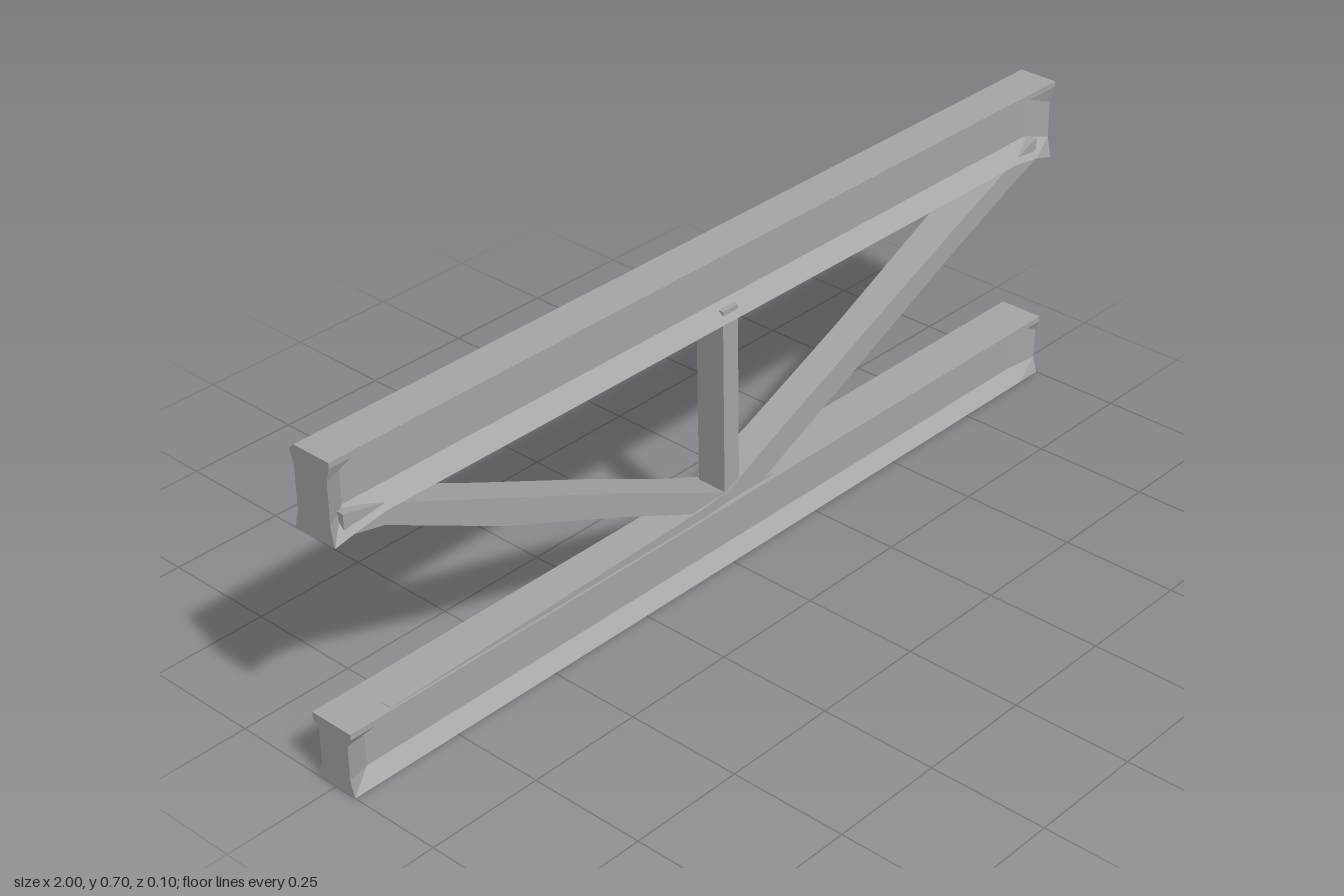
import * as THREE from 'three';

const steel = new THREE.MeshStandardMaterial({ color: 0xa6a6a6 });
steel.name = 'grey steel';
steel.flatShading = true;

// Skin a list of rings (clockwise seen from the last ring's end) and close both ends
function loft(name, rings) {
  const pos = [];
  const quad = (a, b, c, d) => pos.push(...a, ...b, ...c, ...a, ...c, ...d);
  const n = rings[0].length;
  for (let r = 0; r < rings.length - 1; r++) {
    const p = rings[r], q = rings[r + 1];
    for (let i = 0; i < n; i++) {
      const j = (i + 1) % n;
      quad(p[i], q[i], q[j], p[j]);
    }
  }
  const first = rings[0], last = rings[rings.length - 1];
  for (let i = 0; i < n / 2 - 1; i++) {
    const k = n - 1 - i;
    quad(first[i], first[i + 1], first[k - 1], first[k]);
    quad(last[k], last[k - 1], last[i + 1], last[i]);
  }
  const geo = new THREE.BufferGeometry();
  geo.setAttribute('position', new THREE.Float32BufferAttribute(pos, 3));
  geo.computeVertexNormals();
  const mesh = new THREE.Mesh(geo, steel);
  mesh.name = name;
  return mesh;
}

// I-shaped section: y limits, web y limits, web front and back z, back z of the top edge
function beamRing(x, y0, y1, w0, w1, front, back, topBack) {
  return [
    [y0, 0.05], [w0, front], [w1, front], [y1 - 0.012, 0.05], [y1, 0.05],
    [y1, topBack], [y1 - 0.012, -0.05], [w1, back], [w0, back], [y0, -0.05],
  ].map(([y, z]) => [x, y, z]);
}

// Rectangular section for braces running along x
function braceRing([x, y0, y1, front, back]) {
  return [[x, y0, front], [x, y1, front], [x, y1, back], [x, y0, back]];
}

export function createModel() {
  const group = new THREE.Group();
  group.name = 'truss';

  // Chords: recessed along both faces, with closed, slightly pinched ends
  group.add(loft('topChord', [
    beamRing(-1, 0.53, 0.70, 0.57, 0.66, 0.042, -0.04, -0.037),
    beamRing(-0.95, 0.54, 0.70, 0.58, 0.67, 0.015, -0.015, -0.037),
    beamRing(-0.88, 0.55, 0.70, 0.58, 0.67, 0.015, -0.015, -0.037),
    beamRing(0.88, 0.55, 0.70, 0.58, 0.665, 0.015, -0.015, -0.037),
    beamRing(0.95, 0.54, 0.70, 0.58, 0.665, 0.015, -0.015, -0.037),
    beamRing(1, 0.525, 0.70, 0.57, 0.65, 0.04, -0.018, -0.037),
  ]));
  group.add(loft('bottomChord', [
    beamRing(-1, 0, 0.14, 0.035, 0.11, 0.04, -0.035, -0.05),
    beamRing(-0.94, 0, 0.14, 0.02, 0.122, 0.015, -0.015, -0.05),
    beamRing(0.94, 0, 0.14, 0.02, 0.122, 0.015, -0.015, -0.05),
    beamRing(1, 0, 0.14, 0.035, 0.105, 0.04, -0.016, -0.05),
  ]));

  // Low wedge where the braces meet the bottom chord
  group.add(loft('jointWedge', [
    [-0.9, 0.13, 0.141, 0.045, 0.02],
    [-0.08, 0.13, 0.162, 0.045, -0.03],
    [0.0, 0.13, 0.165, 0.04, -0.035],
    [0.13, 0.13, 0.142, 0.04, -0.035],
  ].map(braceRing)));

  // Diagonal braces
  group.add(loft('rightBrace', [
    [-0.97, 0.535, 0.58, 0.04, -0.045],
    [-0.88, 0.515, 0.56, 0.04, -0.045],
    [-0.6, 0.375, 0.435, 0.04, -0.035],
    [-0.3, 0.248, 0.302, 0.04, -0.032],
    [-0.12, 0.166, 0.215, 0.04, -0.035],
    [0.01, 0.13, 0.155, 0.04, -0.045],
  ].map(braceRing)));
  group.add(loft('leftBrace', [
    [0.0, 0.13, 0.165, 0.04, -0.045],
    [0.12, 0.152, 0.222, 0.04, -0.03],
    [0.4, 0.282, 0.345, 0.04, -0.028],
    [0.68, 0.412, 0.468, 0.04, -0.034],
    [0.9, 0.508, 0.56, 0.04, -0.045],
    [0.96, 0.53, 0.58, 0.04, -0.045],
  ].map(braceRing)));

  // Centre post
  group.add(loft('centrePost', [[0.14, -0.012, 0.03], [0.57, -0.018, 0.024]].map(([y, l, r]) =>
    [[l, y, 0.038], [l, y, -0.03], [r, y, -0.03], [r, y, 0.038]])));

  return group;
}
